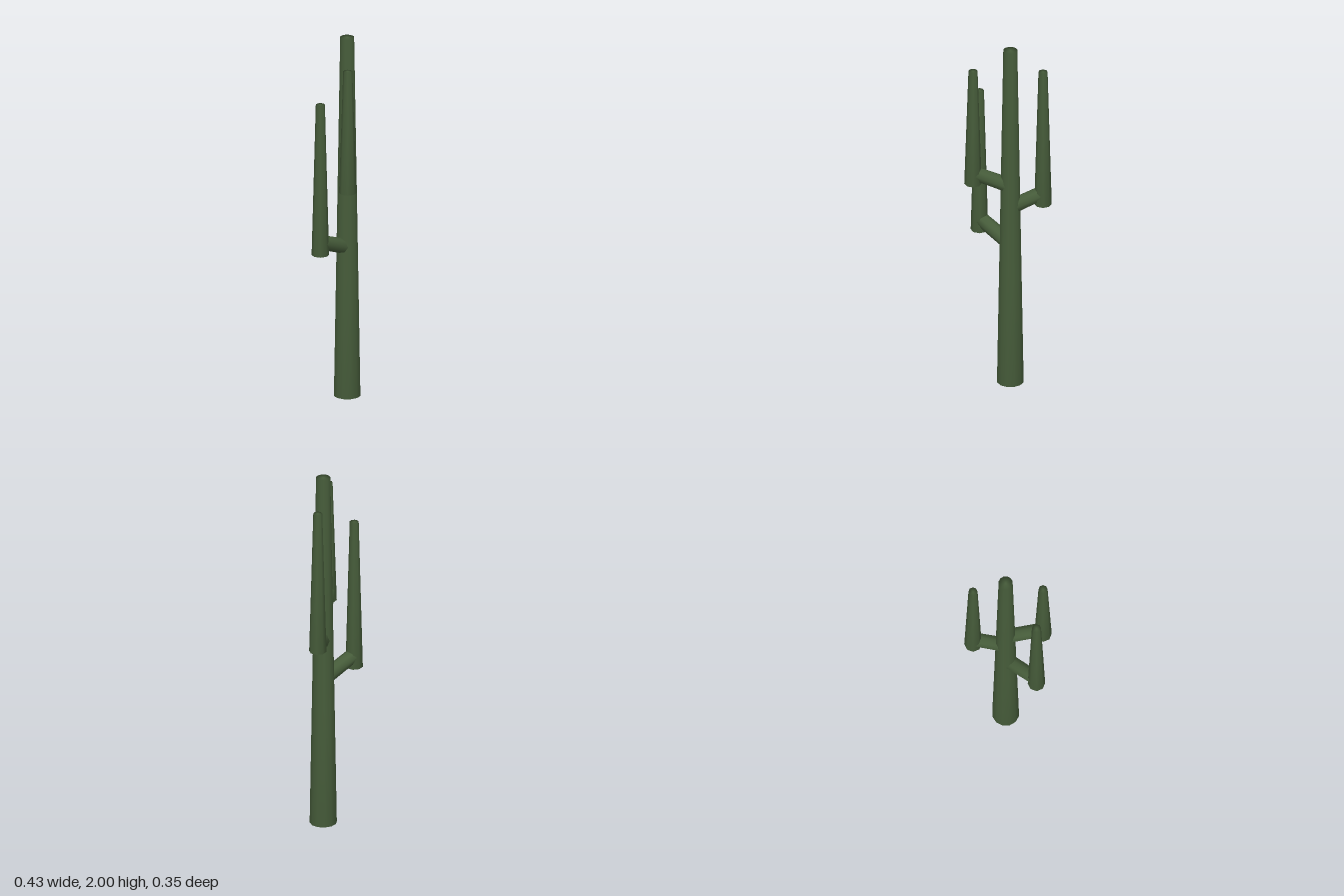
import * as THREE from 'three';
import { mergeVertices } from 'three/addons/utils/BufferGeometryUtils.js';

const green = new THREE.MeshStandardMaterial({ color: 0x465c3a, roughness: 0.9 });
const UP = new THREE.Vector3(0, 1, 0);

// Tapered stem between two points, with soft shading carried over its rims
function stem(name, from, to, rFrom, rTo, sides, rings) {
  const axis = new THREE.Vector3().subVectors(to, from);
  let geo = new THREE.CylinderGeometry(rTo, rFrom, axis.length(), sides, rings);
  geo.deleteAttribute('normal');
  geo.deleteAttribute('uv');
  geo = mergeVertices(geo, 1e-4);
  geo.computeVertexNormals();
  const mesh = new THREE.Mesh(geo, green);
  mesh.name = name;
  mesh.position.addVectors(from, to).multiplyScalar(0.5);
  mesh.quaternion.setFromUnitVectors(UP, axis.normalize());
  return mesh;
}

export function createModel() {
  const cactus = new THREE.Group();
  cactus.name = 'cactus';
  const at = (x, y, z) => new THREE.Vector3(x, y, z);
  const tx = 0.043, tz = -0.012;

  // Main trunk
  cactus.add(stem('trunk', at(tx, 0, tz), at(tx, 2, tz), 0.072, 0.038, 12, 3));

  // Arms: a sloping branch out of the trunk and an upright tapering stem
  const arms = [
    { name: 'lowerArm', x: -0.169, z: 0, bottom: 0.84, top: 1.68, root: 0.83, joint: 0.91 },
    { name: 'frontArm', x: -0.094, z: 0.129, bottom: 1.2, top: 1.88, root: 1.18, joint: 1.265 },
    { name: 'backArm', x: 0.167, z: -0.131, bottom: 1.07, top: 1.87, root: 1.05, joint: 1.14 },
  ];
  for (const a of arms) {
    const arm = new THREE.Group();
    arm.name = a.name;
    arm.add(
      stem('branch', at(tx, a.root, tz), at(a.x, a.joint, a.z), 0.041, 0.039, 8, 1),
      stem('upright', at(a.x, a.bottom, a.z), at(a.x, a.top, a.z), 0.046, 0.024, 8, 2),
    );
    cactus.add(arm);
  }
  return cactus;
}
